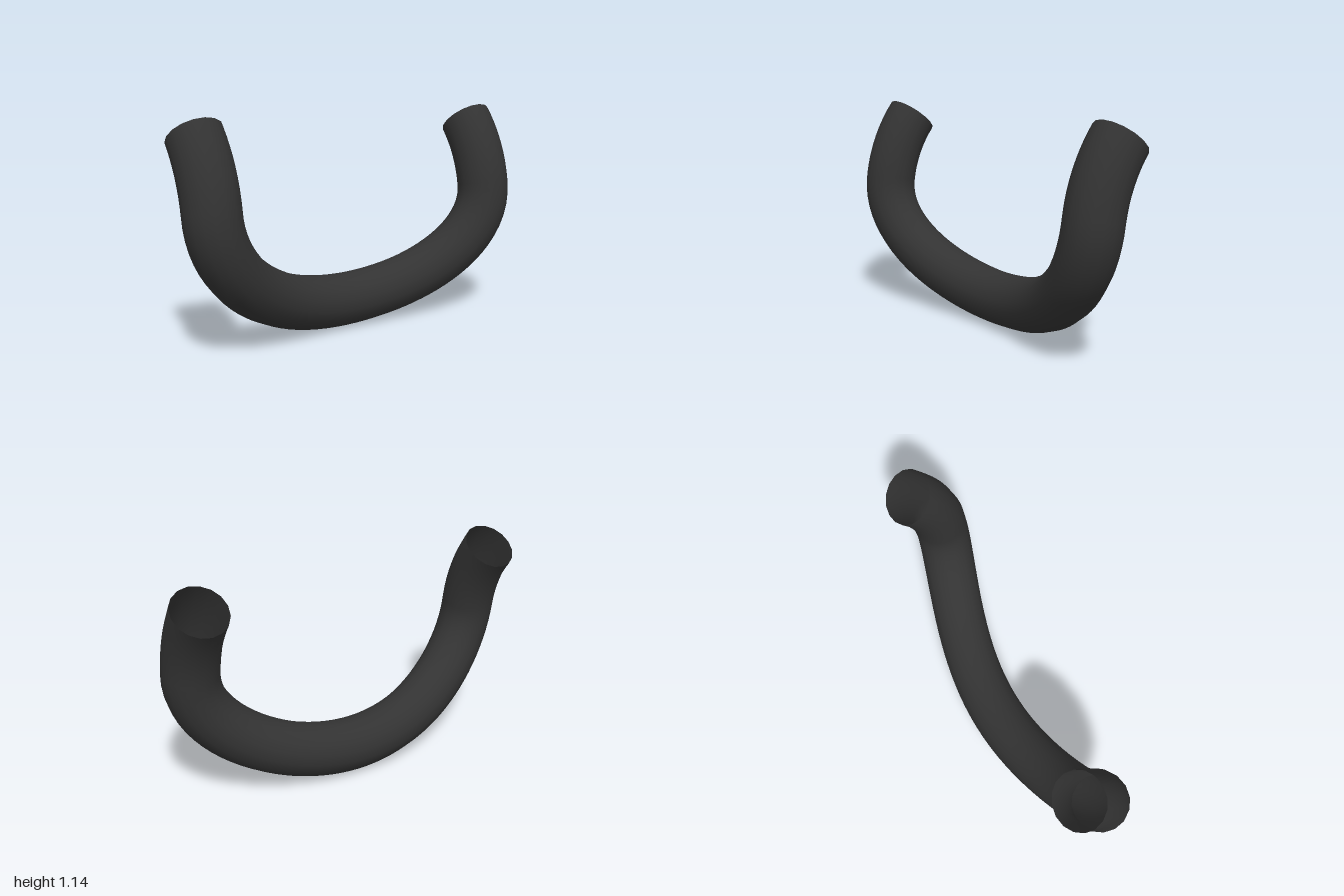
import * as THREE from 'three';

// U-shaped centre line: straight legs, elliptical bottom, bowed forward along a circular arc
class HandlePath extends THREE.Curve {
  getPoint(t, target = new THREE.Vector3()) {
    const halfWidth = 0.86, legStart = 0.7, legEnd = 1.058, bend = 0.8;
    const u = 2 * t - 1, a = Math.abs(u);
    let x = Math.sign(u) * halfWidth, y;
    if (a < bend) {
      const angle = (u / bend) * Math.PI / 2;
      x = halfWidth * Math.sin(angle);
      y = legStart - 0.56 * Math.cos(angle);
    } else {
      y = legStart + (legEnd - legStart) * (a - bend) / (1 - bend);
    }
    const bow = 0.745;
    const z = 0.08 - bow + Math.sqrt(bow * bow - (y - 0.6) ** 2);
    return target.set(x, y, z);
  }
}

export function createModel() {
  const group = new THREE.Group();
  group.name = 'handle';
  const black = new THREE.MeshStandardMaterial({ color: 0x333333, side: THREE.DoubleSide });
  black.name = 'matte black';

  // Open-ended bent tube
  const tube = new THREE.Mesh(new THREE.TubeGeometry(new HandlePath(), 64, 0.14, 16, false), black);
  tube.name = 'bentTube';
  group.add(tube);
  return group;
}
